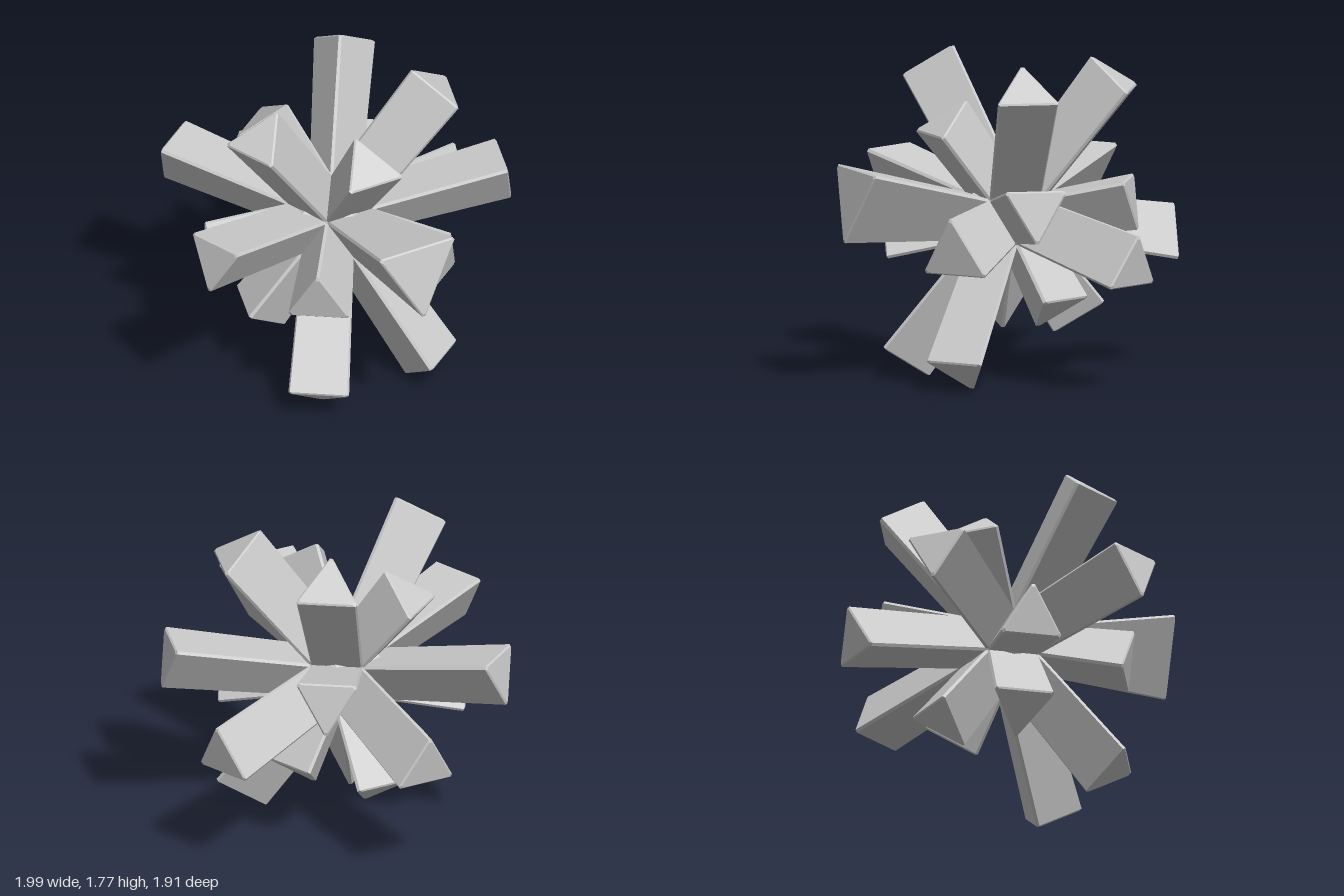
import * as THREE from 'three';

const CENTRE = 0.895;       // height of the burst's centre
const CORE = 0.28;          // core corner radius
const CUT = 0.018;          // chamfer on the long edges
const LONG = 0.98, MID = 0.685;

// Rays by core face: azimuth (from +x toward +z), elevation,
// apex direction (1 up, -1 down), tip distance, optional tip edge length
const HIGH = 52.62, LOW = 10.81;
const rays = [
  { name: 'topRay', el: HIGH, apex: 1, start: 36, tips: [[LONG], [MID], [LONG], [MID], [LONG]] },
  { name: 'upperRay', el: LOW, apex: -1, start: 36, tips: [[LONG], [LONG, 0.485], [LONG], [LONG], [MID]] },
  { name: 'lowerRay', el: -LOW, apex: 1, start: 0, tips: [[LONG], [MID, 0.39], [MID], [MID], [LONG]] },
  { name: 'bottomRay', el: -HIGH, apex: -1, start: 0, tips: [[0.595], [LONG], [LONG], [MID], [MID]] },
];

// Triangle with cut corners, at height z along the ray
function section(edge, z) {
  const r = edge / Math.sqrt(3), points = [];
  for (let k = 0; k < 3; k++) {
    for (const side of [-1, 1]) {
      points.push(new THREE.Vector3(r - 0.866 * CUT, side * CUT / 2, z)
        .applyAxisAngle(new THREE.Vector3(0, 0, 1), k * Math.PI * 2 / 3));
    }
  }
  return points;
}

// Flaring triangular prism along +z with a chamfered tip
function rayGeometry(tip, edge) {
  const rings = [section(0.3, 0.215), section(edge, tip - 0.008), section(edge - 0.03, tip)];
  const positions = [];
  const tri = (...corners) => corners.forEach(p => positions.push(p.x, p.y, p.z));
  for (let j = 0; j < rings.length - 1; j++) {
    for (let i = 0; i < 6; i++) {
      const n = (i + 1) % 6;
      tri(rings[j][i], rings[j][n], rings[j + 1][n]);
      tri(rings[j][i], rings[j + 1][n], rings[j + 1][i]);
    }
  }
  const cap = rings[rings.length - 1];
  for (let i = 1; i < 5; i++) tri(cap[0], cap[i], cap[i + 1]);
  const geometry = new THREE.BufferGeometry();
  geometry.setAttribute('position', new THREE.Float32BufferAttribute(positions, 3));
  geometry.computeVertexNormals();
  return geometry;
}

export function createModel() {
  const model = new THREE.Group();
  model.name = 'crystalBurst';
  const material = new THREE.MeshStandardMaterial({ color: 0xcccccc, flatShading: true });
  const rad = THREE.MathUtils.degToRad;

  // Core: icosahedron turned so that one corner points straight up
  const coreGeometry = new THREE.IcosahedronGeometry(CORE, 0);
  const golden = (1 + Math.sqrt(5)) / 2;
  coreGeometry.rotateZ(Math.atan(1 / golden)); // corner (1, g, 0) to +y
  const core = new THREE.Mesh(coreGeometry, material);
  core.name = 'core';
  core.position.y = CENTRE;
  model.add(core);

  // One ray on each of the twenty faces
  for (const { name, el, apex, start, tips } of rays) {
    tips.forEach(([tip, edge = 0.35], i) => {
      const az = rad(start + 72 * i), e = rad(el);
      const out = new THREE.Vector3(Math.cos(e) * Math.cos(az), Math.sin(e), Math.cos(e) * Math.sin(az));
      const up = new THREE.Vector3(-Math.sin(e) * Math.cos(az), Math.cos(e), -Math.sin(e) * Math.sin(az))
        .multiplyScalar(apex);
      const side = new THREE.Vector3().crossVectors(out, up);
      const ray = new THREE.Mesh(rayGeometry(tip, edge), material);
      ray.name = name + (i + 1);
      ray.quaternion.setFromRotationMatrix(new THREE.Matrix4().makeBasis(up, side, out));
      ray.position.y = CENTRE;
      model.add(ray);
    });
  }
  return model;
}
